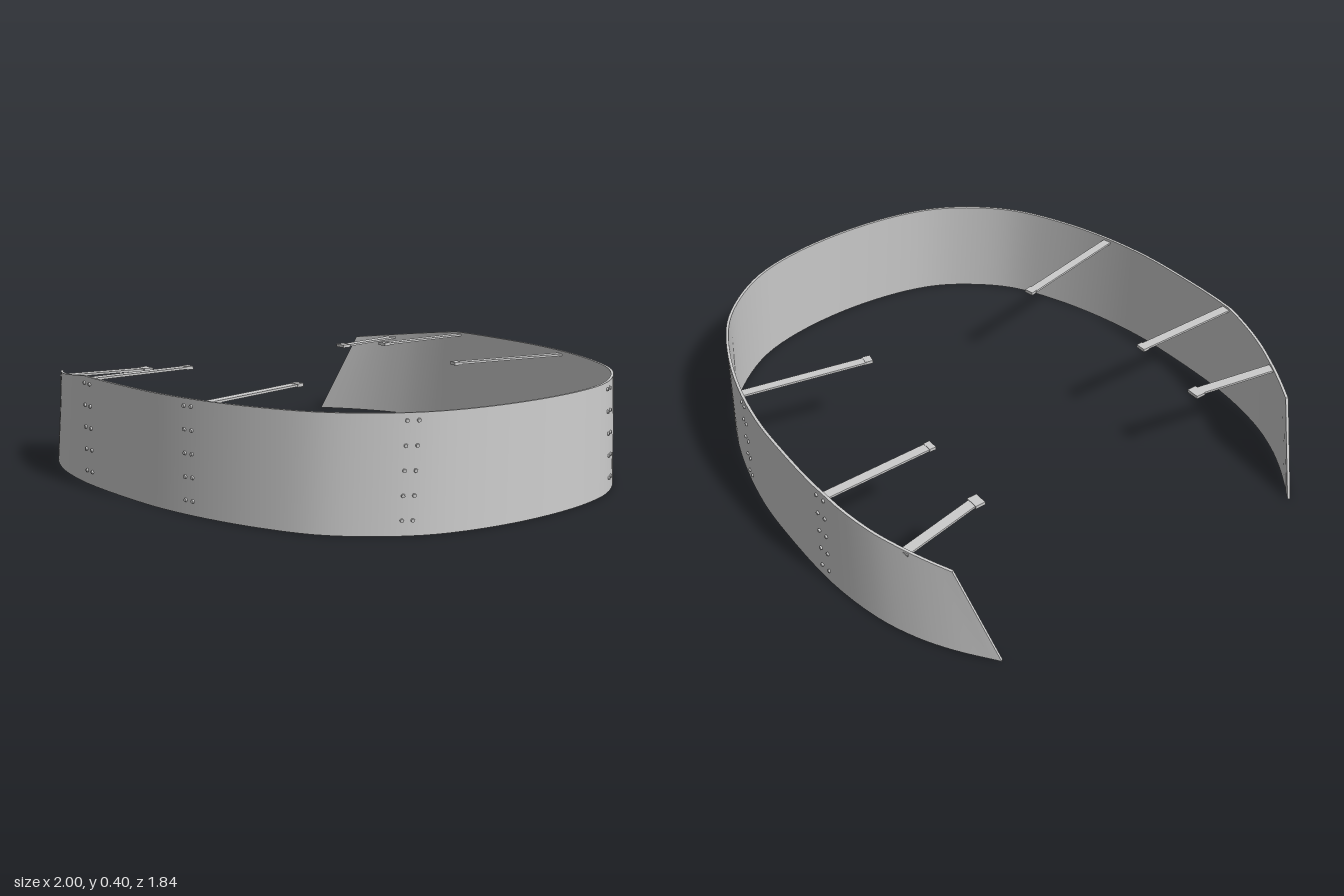
import * as THREE from 'three';
import { toCreasedNormals } from 'three/addons/utils/BufferGeometryUtils.js';

const THICK = 0.01, HEIGHT = 0.395;
const grey = new THREE.MeshStandardMaterial({ color: 0xcccccc });

// Plan of the bottom edge and of the top edge, from the open tip to the nose: [x, z]
const bottomPlan = [[-1, 0.66], [-0.87, 0.755], [-0.75, 0.822], [-0.6, 0.876], [-0.37, 0.912], [-0.05, 0.91],
  [0.12, 0.895], [0.32, 0.853], [0.52, 0.786], [0.7, 0.695], [0.82, 0.58], [0.92, 0.43], [0.975, 0.25], [0.998, 0]];
const topPlan = [[-0.85, 0.745], [-0.77, 0.788], [-0.68, 0.83], [-0.56, 0.875], [-0.37, 0.912], [-0.05, 0.91],
  [0.12, 0.895], [0.32, 0.853], [0.515, 0.784], [0.69, 0.69], [0.81, 0.575], [0.907, 0.425], [0.96, 0.25], [0.982, 0]];

const loop = (plan) => new THREE.CatmullRomCurve3(
  [...plan, ...plan.slice(0, -1).reverse().map(([x, z]) => [x, -z])].map(([x, z]) => new THREE.Vector3(x, 0, z)));
const bottomCurve = loop(bottomPlan), topCurve = loop(topPlan);

// Bottom point, top point and outward direction of the wall at t (0 = left-hand tip, 0.5 = nose, 1 = other tip)
function station(t) {
  const bottom = bottomCurve.getPoint(t), top = topCurve.getPoint(t);
  top.y = Math.min(HEIGHT, 0.335 + (top.x + 0.85) * 0.125);
  const d = bottomCurve.getTangent(t);
  return { bottom, top, out: new THREE.Vector3(-d.z, 0, d.x).normalize() };
}

// Thin curved wall made of four-cornered sections
function wallGeometry() {
  const n = 104, pos = [], idx = [];
  for (let i = 0; i <= n; i++) {
    const { bottom, top, out } = station(i / n);
    const inset = out.clone().multiplyScalar(-THICK);
    for (const p of [bottom, top, top.clone().add(inset), bottom.clone().add(inset)]) pos.push(p.x, p.y, p.z);
  }
  for (let i = 0; i < n; i++) {
    for (let k = 0; k < 4; k++) {
      const a = i * 4 + k, d = i * 4 + (k + 1) % 4, b = a + 4, c = d + 4;
      idx.push(a, b, c, a, c, d);
    }
  }
  const e = n * 4;
  idx.push(0, 1, 2, 0, 2, 3, e, e + 2, e + 1, e, e + 3, e + 2);
  const geo = new THREE.BufferGeometry();
  geo.setAttribute('position', new THREE.Float32BufferAttribute(pos, 3));
  geo.setIndex(idx);
  return toCreasedNormals(geo, 0.5);
}

// Point on the outer face at a given x and y, on the +z half
function onWall(x, y) {
  let lo = 0, hi = 0.5, s, p;
  for (let i = 0; i < 30; i++) {
    const mid = (lo + hi) / 2;
    s = station(mid);
    p = s.bottom.clone().lerp(s.top, y / s.top.y);
    if (p.x < x) lo = mid; else hi = mid;
  }
  return { p, out: s.out };
}

// Flat arm reaching inward, with a small pad at its free end
function arm(name, [x0, z0], [x1, z1], y, width, pad) {
  const group = new THREE.Group();
  group.name = name;
  const len = Math.hypot(x1 - x0, z1 - z0);
  const bar = new THREE.Mesh(new THREE.BoxGeometry(width, 0.008, len), grey);
  bar.name = 'armBar';
  bar.position.set((x0 + x1) / 2, y, (z0 + z1) / 2);
  bar.rotation.y = Math.atan2(x1 - x0, z1 - z0);
  const tab = new THREE.Mesh(new THREE.BoxGeometry(pad[0], 0.012, pad[1]), grey);
  tab.name = 'armPad';
  tab.position.set(x1, y, z1 - Math.sign(z0) * pad[1] * 0.3);
  if (!pad[2]) tab.rotation.y = bar.rotation.y;
  group.add(bar, tab);
  return group;
}

export function createModel() {
  const model = new THREE.Group();
  model.name = 'curvedSkirt';

  const wall = new THREE.Mesh(wallGeometry(), grey);
  wall.name = 'wall';
  model.add(wall);

  // Paired columns of bolts at each panel joint
  const boltGeo = new THREE.CylinderGeometry(0.006, 0.008, 0.012, 8);
  const up = new THREE.Vector3(0, 1, 0);
  const bolts = new THREE.Group();
  bolts.name = 'bolts';
  for (const x of [-0.36, -0.32, 0.23, 0.262, 0.884, 0.902]) {
    for (const y of [0.05, 0.13, 0.21, 0.29, 0.37]) {
      const { p, out } = onWall(x, y);
      for (const side of [1, -1]) {
        const bolt = new THREE.Mesh(boltGeo, grey);
        bolt.name = 'bolt';
        bolt.position.set(p.x, p.y, p.z * side);
        bolt.quaternion.setFromUnitVectors(up, new THREE.Vector3(out.x, 0, out.z * side));
        bolts.add(bolt);
      }
    }
  }
  model.add(bolts);

  // Three support arms on each side
  for (const side of [1, -1]) {
    model.add(
      arm('tipArm', [-0.695, 0.825 * side], [-0.635, 0.505 * side], 0.342, 0.038, [0.05, 0.038, true]),
      arm('middleArm', [-0.355, 0.905 * side], [-0.352, 0.49 * side], 0.383, 0.036, [0.04, 0.025]),
      arm('rearArm', [0.29, 0.855 * side], [0.192, 0.39 * side], 0.38, 0.034, [0.036, 0.03]));
  }
  return model;
}
